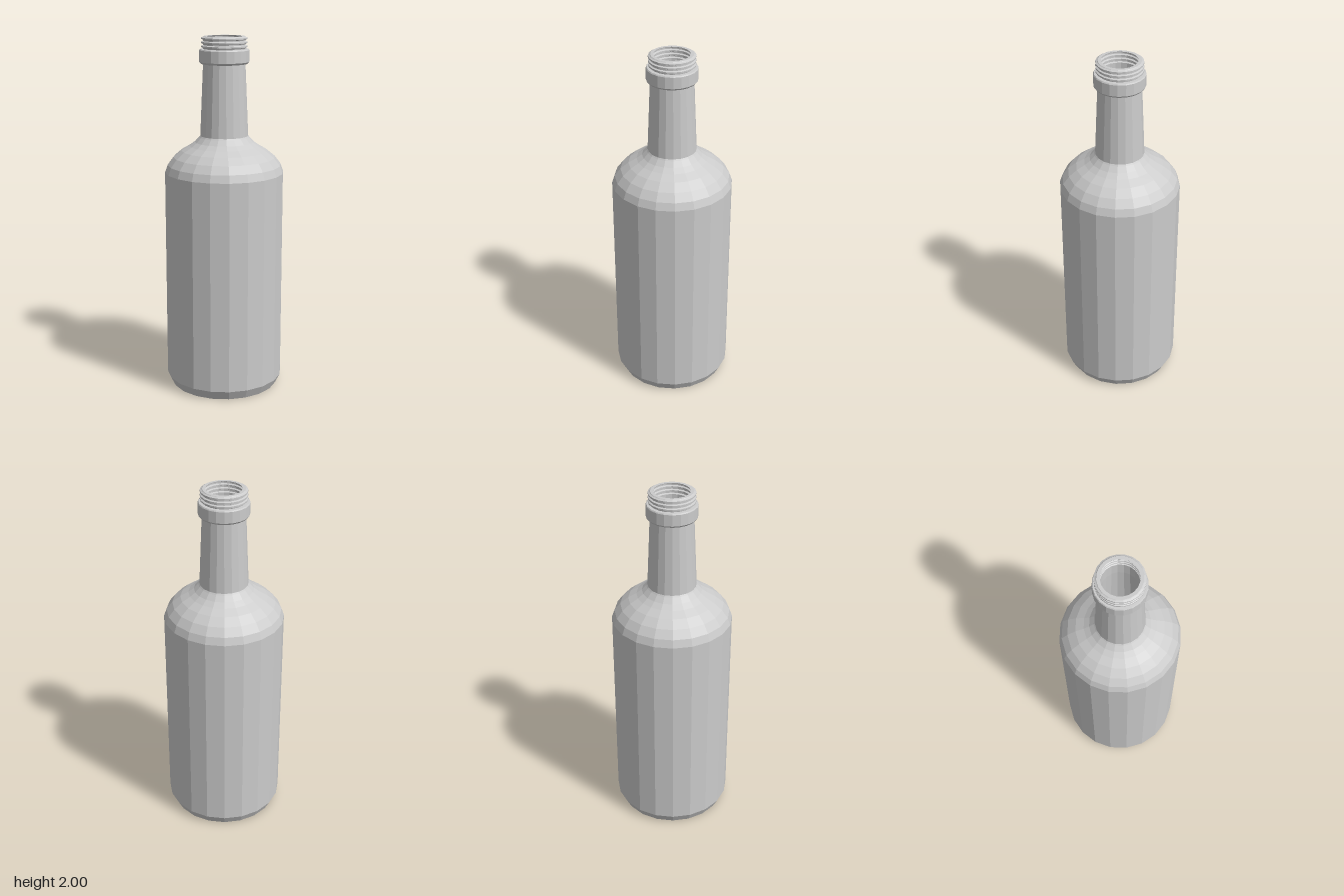
import * as THREE from 'three';

const SIDES = 20;
const material = new THREE.MeshStandardMaterial({ color: 0xcccccc, flatShading: true, side: THREE.DoubleSide });

// Faceted ring of revolution from [radius, height] pairs
function turned(name, profile) {
  const points = profile.map(([r, y]) => new THREE.Vector2(r, y));
  const mesh = new THREE.Mesh(new THREE.LatheGeometry(points, SIDES), material);
  mesh.name = name;
  return mesh;
}

export function createModel() {
  const bottle = new THREE.Group();
  bottle.name = 'bottle';

  // Flat base, bevelled foot, straight wall and rounded shoulder
  const shoulder = [
    [0.333, 1.25], [0.318, 1.292], [0.285, 1.335], [0.24, 1.372],
    [0.195, 1.398], [0.165, 1.42], [0.14, 1.447],
  ];
  bottle.add(turned('body', [[0, 0], [0.305, 0], [0.333, 0.055], ...shoulder]));

  // Tapered neck, tucked under the collar
  bottle.add(turned('neck', [[0.14, 1.447], [0.134, 1.455], [0.117, 1.85]]));

  // Collar with small bevels
  bottle.add(turned('collar', [
    [0.117, 1.85], [0.13, 1.852], [0.138, 1.862], [0.138, 1.925], [0.134, 1.931], [0.116, 1.932],
  ]));

  // Rounded ridges of the screw finish, ending in the lip
  const ridges = [];
  for (const y of [1.937, 1.959, 1.981]) {
    ridges.push([0.117, y], [0.126, y + 0.004], [0.126, y + 0.012], [0.117, y + 0.016]);
  }
  bottle.add(turned('threadedLip', [[0.116, 1.932], ...ridges, [0.114, 2], [0.097, 2]]));

  // Inner wall, following the outside down to the inner floor
  const grooves = ridges.map(([r, y]) => [r - 0.019, y]).reverse();
  const innerShoulder = shoulder.map(([r, y]) => [r - 0.02, y - 0.01]).reverse();
  bottle.add(turned('innerWall', [
    [0.097, 2], ...grooves, [0.098, 1.85], ...innerShoulder, [0.313, 0.06], [0.29, 0.02], [0, 0.02],
  ]));

  return bottle;
}
